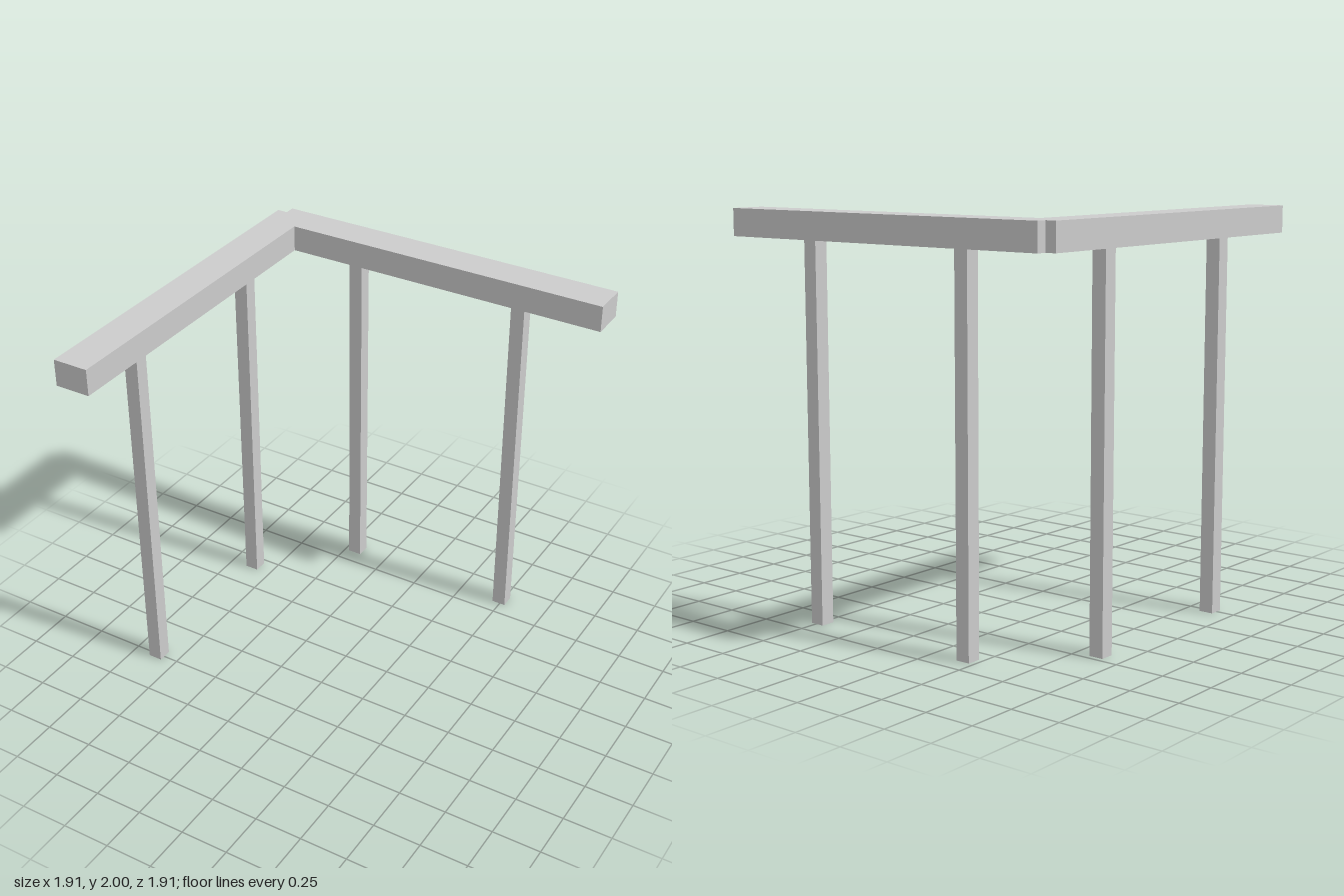
import * as THREE from 'three';

export function createModel() {
  const model = new THREE.Group();
  const material = new THREE.MeshStandardMaterial({ color: 0xcccccc, flatShading: true });

  const beamBottom = 1.865, beamTop = 2;
  const outer = 0.957, inner = 0.775, notch = 0.903;
  const postWidth = 0.073, postLine = 0.867;

  // L-shaped top beam with a small notch at the outer corner, drawn as (x, -z)
  const outline = new THREE.Shape([
    [-outer, -outer], [-inner, -outer], [-inner, inner], [outer, inner],
    [outer, outer], [-notch, outer], [-notch, notch], [-outer, notch],
  ].map(([x, y]) => new THREE.Vector2(x, y)));
  const beamGeometry = new THREE.ExtrudeGeometry(outline, {
    depth: beamTop - beamBottom, bevelEnabled: false,
  });
  beamGeometry.rotateX(-Math.PI / 2);
  const beam = new THREE.Mesh(beamGeometry, material);
  beam.name = 'cornerBeam';
  beam.position.y = beamBottom;
  model.add(beam);

  // Square posts, two under each arm
  const postGeometry = new THREE.BoxGeometry(postWidth, beamBottom, postWidth);
  const addPost = (name, x, z) => {
    const post = new THREE.Mesh(postGeometry, material);
    post.name = name;
    post.position.set(x, beamBottom / 2, z);
    model.add(post);
  };
  addPost('backPostInner', -0.438, -postLine);
  addPost('backPostOuter', 0.492, -postLine);
  addPost('sidePostInner', -postLine, -0.436);
  addPost('sidePostOuter', -postLine, 0.494);

  return model;
}
